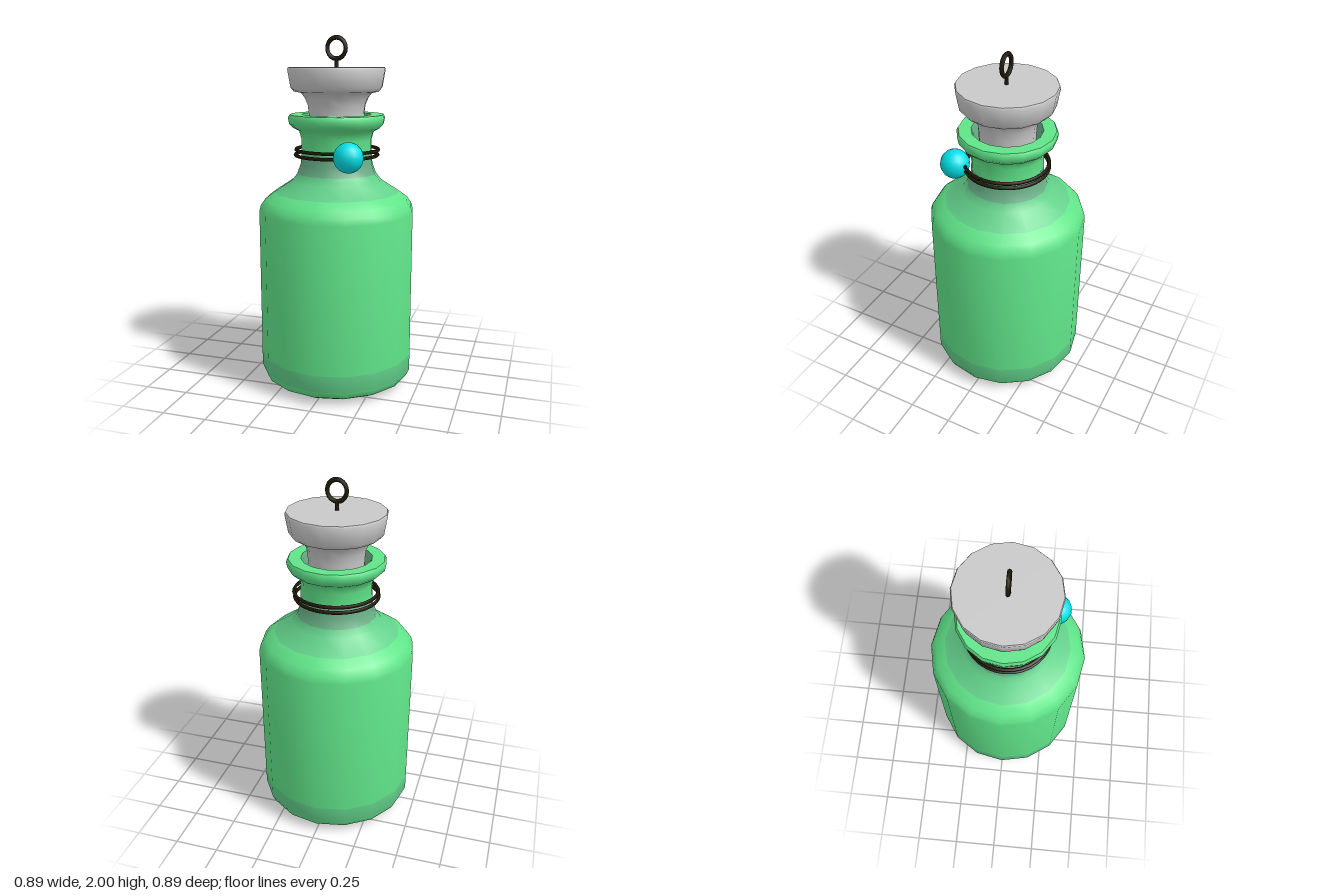
import * as THREE from 'three';
import { toCreasedNormals } from 'three/addons/utils/BufferGeometryUtils.js';

const SIDES = 16;

function material(name, color, side = THREE.FrontSide) {
  const m = new THREE.MeshStandardMaterial({ color, side });
  m.name = name;
  return m;
}

// Turned shape; profile rows are [radius, y, material index of the band above]
function turned(profile, crease) {
  const points = profile.map(([r, y]) => new THREE.Vector2(r, y));
  const geometry = toCreasedNormals(new THREE.LatheGeometry(points, SIDES), crease);
  const bands = profile.length - 1;
  geometry.clearGroups();
  for (let s = 0; s < SIDES; s++) {
    for (let b = 0; b < bands; b++) {
      geometry.addGroup((s * bands + b) * 6, 6, profile[b][2] ?? 0);
    }
  }
  return geometry;
}

export function createModel() {
  const model = new THREE.Group();
  const glass = material('green glass', 0x60e489, THREE.DoubleSide);
  const paleGlass = material('muted green glass', 0x62d08a, THREE.DoubleSide);
  const neckGlass = material('grey green glass', 0x69ae86, THREE.DoubleSide);
  const grey = material('stopper grey', 0xc9c9c9, THREE.DoubleSide);
  const wire = material('dark wire', 0x1c1806);
  const cyan = material('cyan bead', 0x00e2ea);

  const add = (name, geometry, mat, x = 0, y = 0, z = 0) => {
    const mesh = new THREE.Mesh(geometry, mat);
    mesh.name = name;
    mesh.position.set(x, y, z);
    model.add(mesh);
    return mesh;
  };

  // Bottle: rounded base, straight body, shoulder, flared lip and open neck
  const bottleProfile = [
    [0, 0], [0.3, 0.002], [0.37, 0.015], [0.425, 0.045], [0.445, 0.085, 1],
    [0.445, 0.18], [0.445, 1.02], [0.435, 1.055], [0.41, 1.09], [0.355, 1.13, 1],
    [0.255, 1.195, 1], [0.225, 1.235, 2], [0.205, 1.29, 2], [0.2, 1.35],
    [0.2, 1.43], [0.212, 1.475], [0.245, 1.492], [0.268, 1.515], [0.275, 1.55],
    [0.265, 1.567], [0.195, 1.567, 2], [0.185, 1.545, 2], [0.18, 1.3, 2], [0, 1.3],
  ];
  add('bottle', turned(bottleProfile, 0.9), [glass, paleGlass, neckGlass]);

  // Stopper: plug flaring up into a wide flat cap
  const stopperProfile = [
    [0, 1.35], [0.15, 1.35], [0.157, 1.57], [0.163, 1.62], [0.18, 1.66],
    [0.2, 1.686], [0.24, 1.694], [0.258, 1.715], [0.275, 1.815], [0.27, 1.825], [0, 1.825],
  ];
  add('stopper', turned(stopperProfile, 0.9), [grey]);

  // Wire wound twice around the neck
  for (const [y, x] of [[1.37, 0.004], [1.34, 0]]) {
    const loop = add('neckWire', new THREE.TorusGeometry(0.234, 0.01, 6, 32), wire, x, y, 0.003);
    loop.rotation.x = Math.PI / 2;
  }

  // Bead hanging from the wire
  add('bead', new THREE.SphereGeometry(0.083, 14, 10), cyan, 0.142, 1.357, 0.25);

  // Wire eyelet on top of the stopper
  const eyelet = add('eyelet', new THREE.TorusGeometry(0.053, 0.012, 6, 20), wire, 0, 1.929, 0.005);
  eyelet.scale.y = 1.09;
  add('eyeletStem', new THREE.CylinderGeometry(0.011, 0.011, 0.06, 8), wire, 0, 1.842, 0.005);

  return model;
}
